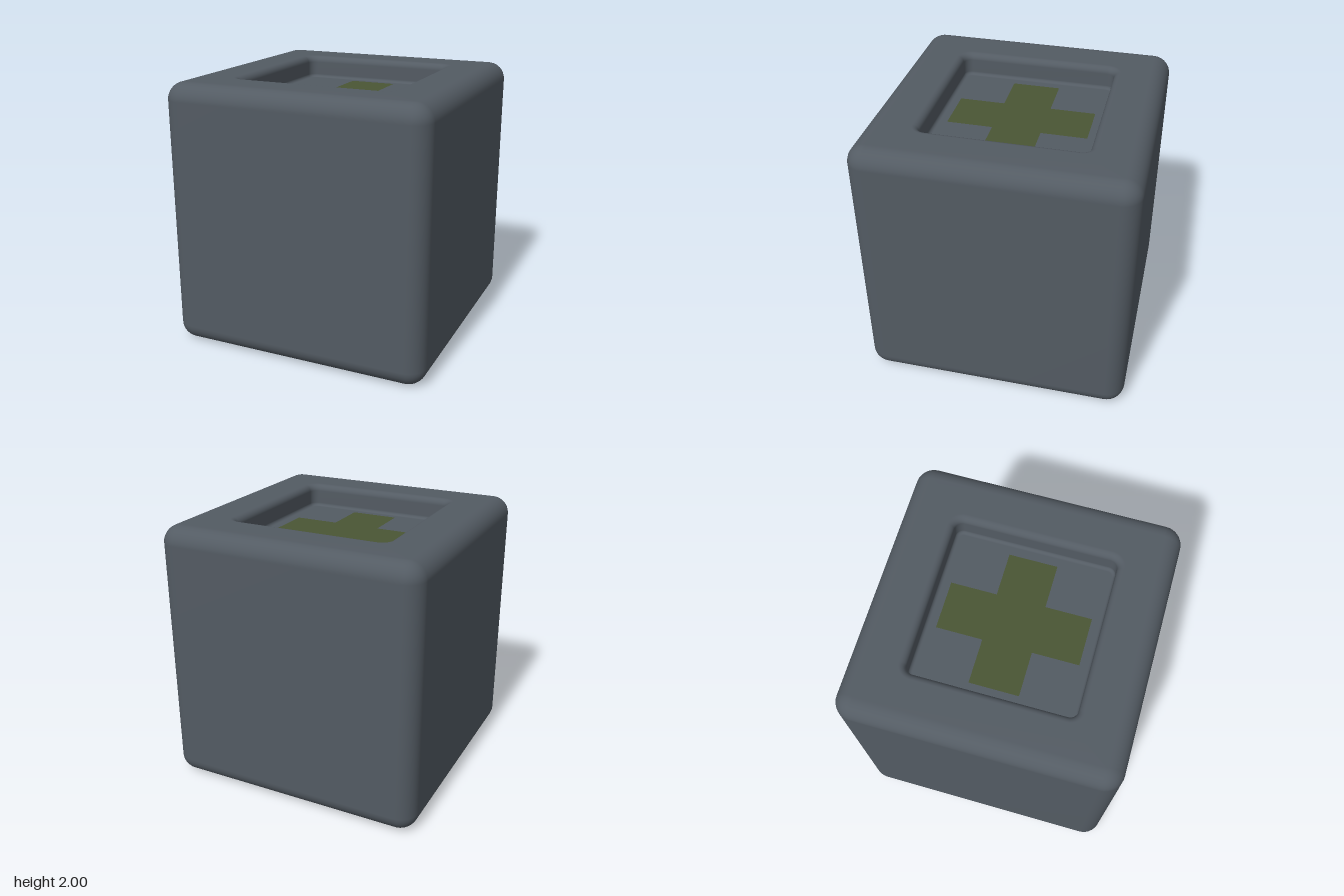
import * as THREE from 'three';

const CORNER_STEPS = 8;

// Rounded-square cross-section: half size h, corner radius r, height y
function ring(h, r, y) {
  const pts = [];
  for (let q = 0; q < 4; q++) {
    const mid = Math.PI / 4 + q * Math.PI / 2;
    const cx = Math.sign(Math.cos(mid)) * (h - r);
    const cz = Math.sign(Math.sin(mid)) * (h - r);
    for (let k = 0; k <= CORNER_STEPS; k++) {
      const a = (q + k / CORNER_STEPS) * Math.PI / 2;
      pts.push([cx + r * Math.cos(a), y, cz + r * Math.sin(a)]);
    }
  }
  return pts;
}

// Skin consecutive cross-sections into one smooth surface
function loft(rings) {
  const n = rings[0].length;
  const index = [];
  for (let i = 0; i < rings.length - 1; i++) {
    for (let j = 0; j < n; j++) {
      const a = i * n + j, b = i * n + (j + 1) % n;
      index.push(a, a + n, b, b, a + n, b + n);
    }
  }
  const geo = new THREE.BufferGeometry();
  geo.setAttribute('position', new THREE.Float32BufferAttribute(rings.flat(2), 3));
  geo.setIndex(index);
  geo.computeVertexNormals();
  return geo;
}

export function createModel() {
  const group = new THREE.Group();
  const R = 0.13;      // outer edge rounding
  const RIM = 0.05;    // recess lip rounding
  const FIL = 0.025;   // fillet at the recess floor
  const FLOOR = 1.825;
  const STEPS = 8;
  const rings = [ring(0.02, 0.005, 0)];
  const arc = (from, to, f) => {
    for (let k = 0; k <= STEPS; k++) f(from + (to - from) * k / STEPS);
  };

  // Rounded bottom edge, walls and rounded top edge
  const outer = (cy) => (t) => {
    const c = R * Math.cos(t);
    rings.push(ring(1 - R + c, Math.max(c, 0) + 0.008, cy + R * Math.sin(t)));
  };
  arc(-Math.PI / 2, 0, outer(R));
  arc(0, Math.PI / 2, outer(2 - R));

  // Lip rolling into the recess
  arc(0, Math.PI / 2, (t) => {
    const d = RIM * (1 - Math.sin(t));
    rings.push(ring(0.6 + d, 0.06 + d, 2 - RIM + RIM * Math.cos(t)));
  });

  // Fillet from recess wall to floor
  arc(0, Math.PI / 2, (t) => {
    const d = FIL * (1 - Math.cos(t));
    rings.push(ring(0.6 - d, 0.06 - d, FLOOR + FIL - FIL * Math.sin(t)));
  });
  rings.push(ring(0.02, 0.005, FLOOR), ring(0.0002, 0.0001, FLOOR));
  rings.unshift(ring(0.0002, 0.0001, 0));

  const body = new THREE.Mesh(loft(rings), new THREE.MeshStandardMaterial({ color: 0x535b63 }));
  body.name = 'recessedBlock';
  group.add(body);

  // Flat cross inlaid on the recess floor
  const w = 0.18, lx = 0.51, lz = 0.52;
  const quarter = [[lx, w], [w, w], [w, lz]];
  const mirrored = quarter.map(([x, z]) => [-x, z]).reverse();
  const upper = [...quarter, ...mirrored];
  const outline = [...upper, ...upper.map(([x, z]) => [-x, -z])];
  const shape = new THREE.Shape(outline.map(([x, z]) => new THREE.Vector2(x, z)));
  const crossGeo = new THREE.ShapeGeometry(shape).rotateX(-Math.PI / 2);
  const cross = new THREE.Mesh(crossGeo, new THREE.MeshStandardMaterial({ color: 0x4a5634 }));
  cross.position.y = FLOOR + 0.004;
  cross.name = 'crossInlay';
  group.add(cross);

  return group;
}
